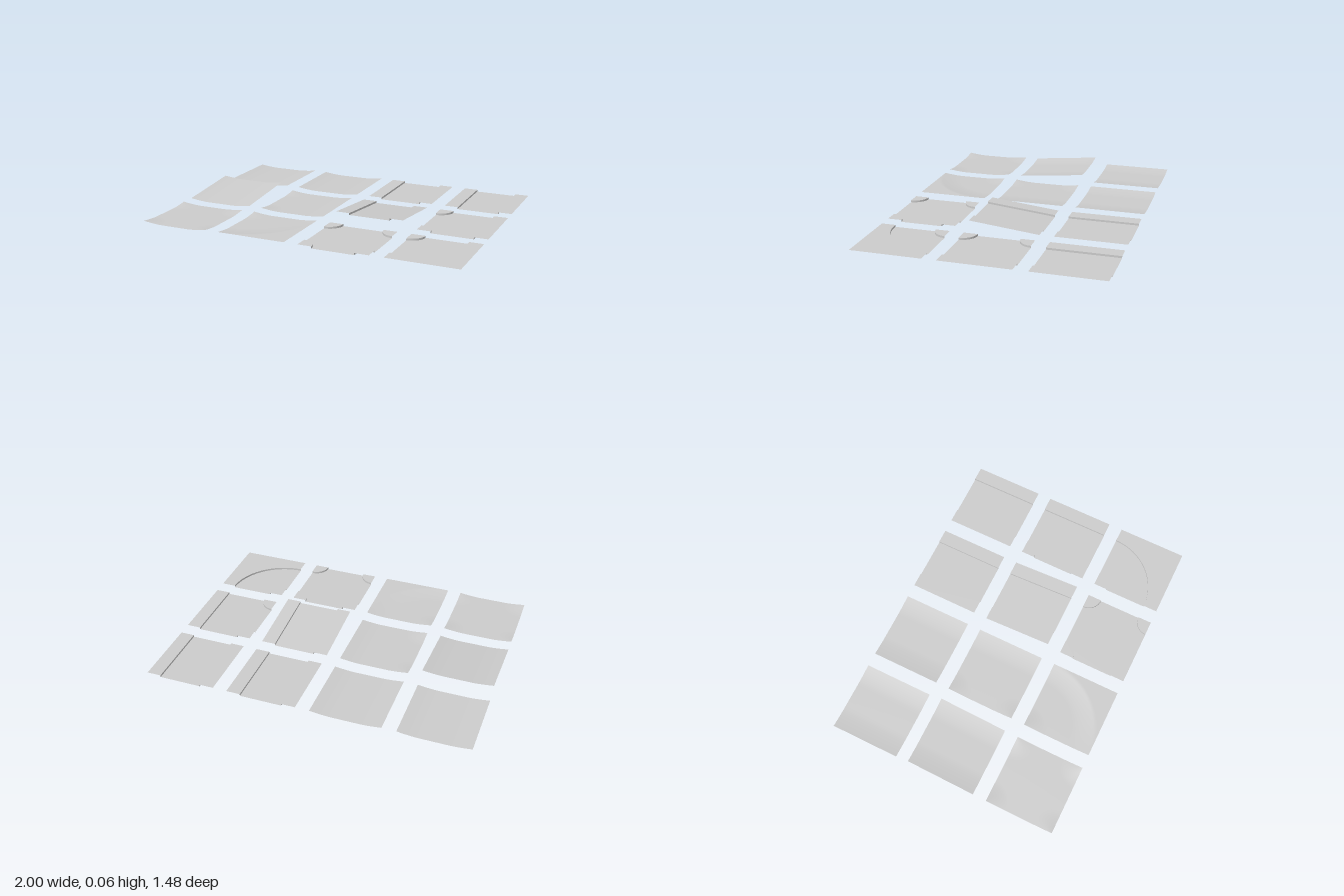
import * as THREE from 'three';

const SIZE = 0.435, H = SIZE / 2;   // tile side and half side
const PITCH = 0.522;                // tile spacing
const CURB = 0.012, WALK = 0.087;   // pavement height and width
const DISH = 0.13;                  // width of the curved bank on dished tiles
const RISE = 0.044;                 // height gained by a ramp
const B = H - WALK, Q = Math.PI / 2;

const material = new THREE.MeshStandardMaterial({ color: 0xcccccc, side: THREE.DoubleSide });

// Plan points use (x, up the page), where up the page is -z.
function arc(cx, cy, r, a0, a1, n = 16) {
  return Array.from({ length: n + 1 }, (_, i) => {
    const a = a0 + (a1 - a0) * i / n;
    return new THREE.Vector2(cx + r * Math.cos(a), cy + r * Math.sin(a));
  });
}
const pts = (...list) => list.map(([x, y]) => new THREE.Vector2(x, y));

// Each border has its curb line (road on the right), the outer corners that
// close its pavement, and the distance of a point from the raised edge.
const corner = (sx, sy, a) => ({
  line: arc(sx * H, sy * H, WALK, a, a + Q),
  outer: pts([sx * H, sy * H]),
  dist: (x, y) => Math.hypot(x - sx * H, y - sy * H),
});
const side = (s) => ({
  line: pts([s * B, s * H], [s * B, -s * H]),
  outer: pts([s * H, -s * H], [s * H, s * H]),
  dist: (x) => H - s * x,
});
const bend = {
  line: arc(-H, H, SIZE - WALK, 0, -Q, 32),
  outer: pts([-H, -H], [H, -H], [H, H]),
  dist: (x, y) => Math.max(0, SIZE - Math.hypot(x + H, y - H)),
};
const left = side(-1), right = side(1);
const frontLeft = corner(-1, -1, 0), backLeft = corner(-1, 1, -Q);
const backRight = corner(1, 1, 2 * Q), frontRight = corner(1, -1, Q);

// Borders listed clockwise, so their curb lines joined up outline the road.
const layouts = {
  straight: [left, right],
  crossing: [frontLeft, backLeft, backRight, frontRight],
  junction: [frontLeft, backLeft, right],
  bend: [backLeft, bend],
};

// Tilt a tile: dir = 1 rises to the front, -1 to the back, 0 stays flat
function tilt(geometry, dir) {
  const p = geometry.attributes.position;
  for (let i = 0; i < p.count; i++) {
    if (dir) p.setY(i, p.getY(i) + RISE * (0.5 + dir * p.getZ(i) / SIZE));
  }
  geometry.computeVertexNormals();
  return geometry;
}

function add(group, name, geometry, dir) {
  const mesh = new THREE.Mesh(tilt(geometry, dir), material);
  mesh.name = name;
  group.add(mesh);
}

function flatSheet(outline, y) {
  return new THREE.ShapeGeometry(new THREE.Shape(outline)).rotateX(-Q).translate(0, y, 0);
}

function curbWall(line) {
  const n = line.length;
  const g = new THREE.PlaneGeometry(1, 1, n - 1, 1);
  for (let i = 0; i < 2 * n; i++) {
    const { x, y } = line[i % n];
    g.attributes.position.setXYZ(i, x, i < n ? CURB : 0, -y);
  }
  return g;
}

// Road at ground level with raised pavements and upright curbs
function curbedTile(borders, dir) {
  const tile = new THREE.Group();
  add(tile, 'road', flatSheet(borders.flatMap((b) => b.line), 0), dir);
  for (const b of borders) {
    add(tile, 'pavement', flatSheet([...b.line, ...b.outer], CURB), dir);
    add(tile, 'curb', curbWall(b.line), dir);
  }
  return tile;
}

// One smooth sheet whose banks curve up towards the borders
function dishedTile(borders, dir) {
  const tile = new THREE.Group();
  const g = new THREE.PlaneGeometry(SIZE, SIZE, 32, 32).rotateX(-Q);
  const p = g.attributes.position;
  for (let i = 0; i < p.count; i++) {
    const d = Math.min(...borders.map((b) => b.dist(p.getX(i), -p.getZ(i))));
    p.setY(i, CURB * Math.pow(Math.max(0, 1 - d / DISH), 1.6));
  }
  add(tile, 'dishedRoad', g, dir);
  return tile;
}

export function createModel() {
  const model = new THREE.Group();
  model.name = 'roadTileSet';
  // name, layout, column within its pair, row from back to front, ramp
  const tiles = [
    ['Straight', 'straight', 0, 0, false],
    ['SecondStraight', 'straight', 1, 0, false],
    ['Ramp', 'straight', 0, 1, true],
    ['Junction', 'junction', 1, 1, false],
    ['Crossing', 'crossing', 0, 2, false],
    ['Bend', 'bend', 1, 2, false],
  ];
  for (const [name, layout, column, row, ramp] of tiles) {
    const dished = dishedTile(layouts[layout], ramp ? -1 : 0);
    const curbed = curbedTile(layouts[layout], ramp ? 1 : 0);
    dished.name = 'dished' + name;
    curbed.name = 'curbed' + name;
    dished.position.set((column - 1.5) * PITCH, 0, (row - 1) * PITCH);
    curbed.position.set((column + 0.5) * PITCH, 0, (row - 1) * PITCH);
    model.add(dished, curbed);
  }
  return model;
}
